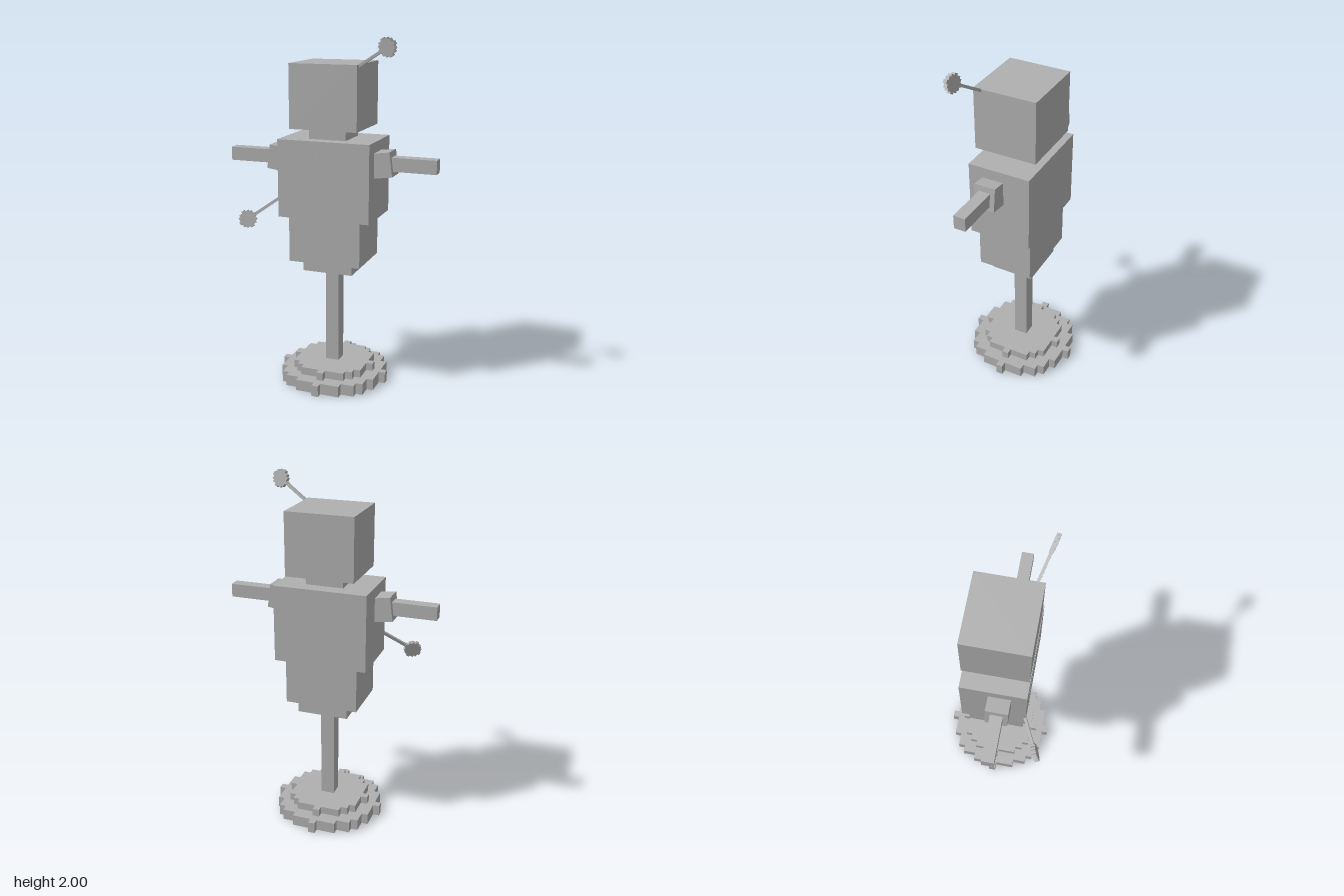
import * as THREE from 'three';

const grey = new THREE.MeshStandardMaterial({ color: 0xb0b0b0 });
grey.name = 'plain grey';

function add(parent, name, geometry) {
  const mesh = new THREE.Mesh(geometry, grey);
  mesh.name = name;
  parent.add(mesh);
  return mesh;
}

// Box given by its limits on each axis
function block(parent, name, x0, x1, y0, y1, z0, z1) {
  const mesh = add(parent, name, new THREE.BoxGeometry(x1 - x0, y1 - y0, z1 - z0));
  mesh.position.set((x0 + x1) / 2, (y0 + y1) / 2, (z0 + z1) / 2);
  return mesh;
}

// Disc with a stair-stepped rim, from the outer corners of one quarter
function steppedDisc(corners, depth) {
  const quarter = [];
  corners.forEach(([x, y], i) => {
    if (i > 0) quarter.push([corners[i - 1][0], y]);
    quarter.push([x, y]);
  });
  const points = [];
  for (let turn = 0; turn < 4; turn++) {
    for (const [x, y] of quarter) {
      const p = [[x, y], [y, -x], [-x, -y], [-y, x]][turn];
      points.push(new THREE.Vector2(p[0], p[1]));
    }
  }
  return new THREE.ExtrudeGeometry(new THREE.Shape(points), { depth, bevelEnabled: false });
}

// Thin rod with a small stepped disc at its end
function stalk(parent, name, start, end) {
  const from = new THREE.Vector3(...start);
  const along = new THREE.Vector3(...end).sub(from);
  const length = along.length();
  along.normalize();
  const normal = new THREE.Vector3(0, 0, 1).addScaledVector(along, -along.z).normalize();
  const across = new THREE.Vector3().crossVectors(normal, along);

  const group = new THREE.Group();
  group.name = name;
  group.quaternion.setFromRotationMatrix(new THREE.Matrix4().makeBasis(along, across, normal));
  group.position.copy(from);
  block(group, name + 'Rod', -0.02, length, -0.008, 0.008, -0.008, 0.008);
  const tip = add(group, name + 'Tip',
    steppedDisc([[0.01, 0.052], [0.03, 0.042], [0.042, 0.03], [0.052, 0.01]], 0.024));
  tip.position.set(length, 0, -0.012);
  parent.add(group);
}

export function createModel() {
  const model = new THREE.Group();
  model.name = 'blockFigure';

  // Two-tier stand
  const lower = add(model, 'lowerBase', steppedDisc(
    [[0.02, 0.322], [0.13, 0.285], [0.207, 0.247], [0.247, 0.207], [0.285, 0.13], [0.322, 0.02]], 0.065));
  lower.rotation.x = -Math.PI / 2;
  const upper = add(model, 'upperBase', steppedDisc(
    [[0.02, 0.245], [0.13, 0.207], [0.17, 0.17], [0.207, 0.13], [0.245, 0.02]], 0.045));
  upper.rotation.x = -Math.PI / 2;
  upper.position.y = 0.065;
  block(model, 'pole', -0.04, 0.04, 0.11, 0.68, -0.04, 0.04);

  // Body stack
  block(model, 'hips', -0.147, 0.147, 0.675, 0.74, -0.125, 0.12);
  block(model, 'waist', -0.21, 0.21, 0.74, 1.0, -0.15, 0.17);
  block(model, 'torso', -0.267, 0.267, 1.0, 1.44, -0.172, 0.187);
  block(model, 'neck', -0.108, 0.108, 1.44, 1.5, -0.088, 0.115);
  block(model, 'head', -0.195, 0.195, 1.5, 1.855, -0.172, 0.185);

  // Almost flush round chest plate
  const plate = add(model, 'chestPlate', steppedDisc(
    [[0.03, 0.165], [0.09, 0.14], [0.14, 0.09], [0.165, 0.03]], 0.004));
  plate.position.set(0, 1.22, 0.1845);

  // Arms with tilted shoulders
  for (const side of [1, -1]) {
    const arm = new THREE.Group();
    arm.name = side > 0 ? 'leftArm' : 'rightArm';
    const shoulder = add(arm, 'shoulder', new THREE.BoxGeometry(0.16, 0.137, 0.123));
    shoulder.position.set(side * 0.282, 1.313, 0.042);
    shoulder.rotation.z = side * 0.13;
    const forearm = add(arm, 'forearm', new THREE.BoxGeometry(0.275, 0.077, 0.068));
    forearm.position.set(side * 0.47, 1.32, 0.042);
    model.add(arm);
  }

  // Stalks on the head corner and the lower torso corner
  stalk(model, 'headStalk', [0.19, 1.845, 0.145], [0.362, 1.95, 0.198]);
  stalk(model, 'torsoStalk', [-0.265, 1.105, 0.185], [-0.417, 0.993, 0.27]);

  return model;
}
